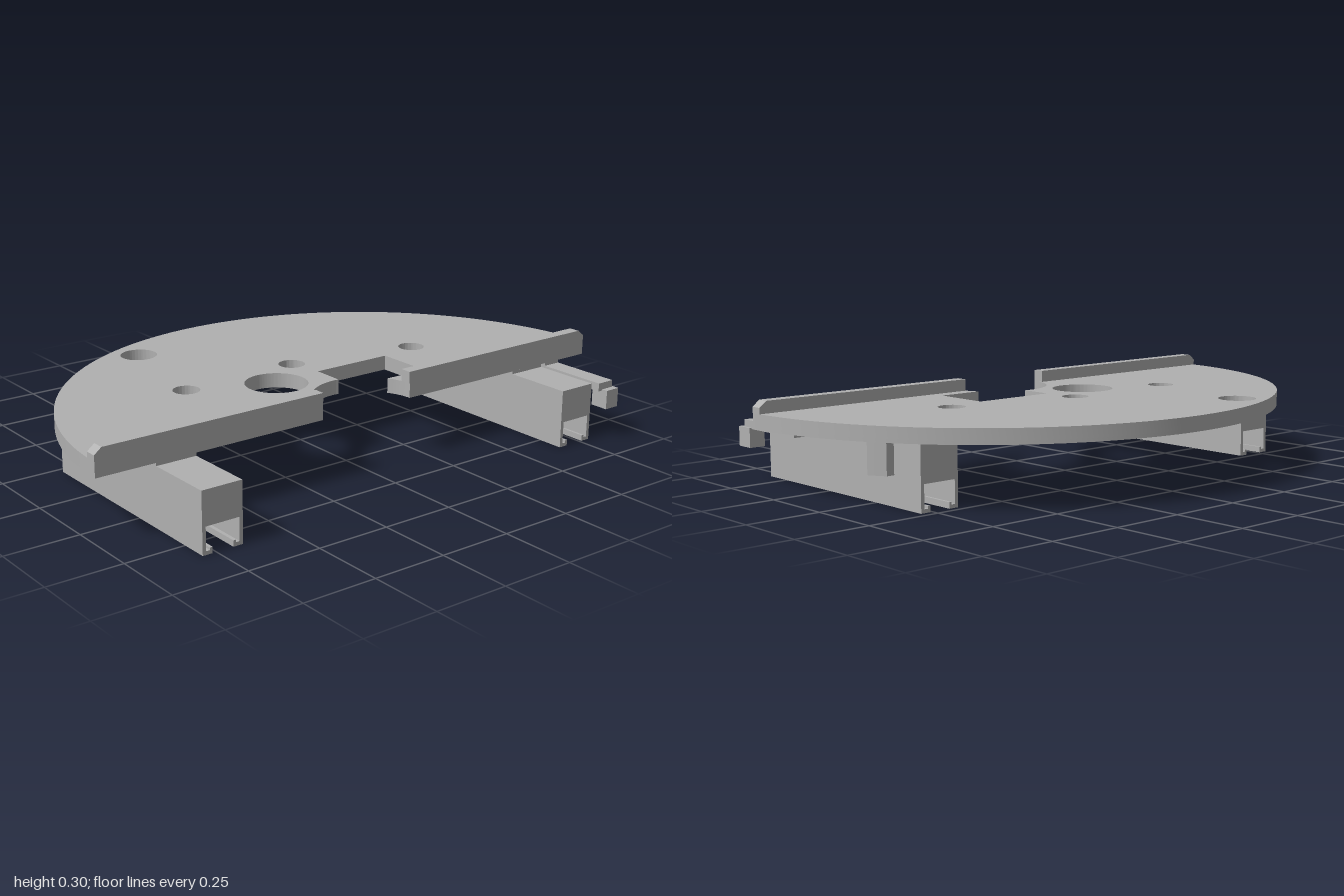
import * as THREE from 'three';
import { toCreasedNormals } from 'three/addons/utils/BufferGeometryUtils.js';

const CENTER = -0.37; // centre of the rim in plan (shape y = -z)
const FRONT = 0.355;

export function createModel() {
  const model = new THREE.Group();
  const grey = new THREE.MeshStandardMaterial({ color: 0xb0b0b0 });
  grey.name = 'grey';

  const add = (name, geometry) => {
    const mesh = new THREE.Mesh(geometry, grey);
    mesh.name = name;
    model.add(mesh);
    return mesh;
  };
  const box = (name, x0, x1, y0, y1, z0, z1) => {
    const g = new THREE.BoxGeometry(x1 - x0, y1 - y0, z1 - z0);
    g.translate((x0 + x1) / 2, (y0 + y1) / 2, (z0 + z1) / 2);
    return add(name, g);
  };
  // Plan outline raised from y0 to y1
  const slab = (name, shape, y0, y1) => {
    const g = new THREE.ExtrudeGeometry(shape, { depth: y1 - y0, bevelEnabled: false, curveSegments: 72 });
    g.rotateX(-Math.PI / 2);
    g.translate(0, y0, 0);
    return add(name, toCreasedNormals(g, 0.5));
  };
  // Front outline run from z0 to z1
  const profile = (name, points, z0, z1) => {
    const shape = new THREE.Shape(points.map(([x, y]) => new THREE.Vector2(x, y)));
    const g = new THREE.ExtrudeGeometry(shape, { depth: z1 - z0, bevelEnabled: false });
    g.translate(0, 0, z0);
    return add(name, g);
  };
  const hole = (x, z, r) => {
    const p = new THREE.Path();
    p.absarc(x, -z, r, 0, Math.PI * 2, true);
    return p;
  };

  // Half-disc outline with round and rectangular cut-outs in the front edge
  const plateShape = (blindHoles) => {
    const s = new THREE.Shape();
    const a = Math.asin(0.015);
    s.absarc(0, CENTER, 1, a, Math.PI - a, false);
    s.lineTo(-0.18, -FRONT);
    s.absarc(0, -0.36, 0.18, Math.PI - 0.028, Math.atan2(0.179, 0.02), true);
    s.lineTo(0.02, -0.07);
    s.lineTo(0.315, -0.07);
    s.lineTo(0.315, -0.27);
    s.absarc(0, -0.36, 0.18, Math.atan2(0.09, 0.156), 0.028, true);
    s.holes.push(hole(-0.165, 0.087, 0.105), hole(-0.36, -0.455, 0.063));
    if (blindHoles) s.holes.push(hole(-0.44, -0.03, 0.045), hole(0, -0.05, 0.045), hole(0.46, 0.04, 0.045));
    return s;
  };
  slab('plateBottom', plateShape(false), 0.21, 0.222);
  slab('plateTop', plateShape(true), 0.222, 0.26);

  // Collar under the rear hole
  const collar = new THREE.Shape();
  collar.absarc(-0.36, 0.455, 0.091, 0, Math.PI * 2, false);
  collar.holes.push(hole(-0.36, -0.455, 0.063));
  slab('holeCollar', collar, 0.201, 0.21);

  // Raised front lip, chamfered at its outer ends
  profile('lipLeft', [[0.177, 0.26], [1, 0.26], [1, 0.28], [0.975, 0.3], [0.177, 0.3]], 0.315, FRONT);
  profile('lipRight', [[-1, 0.26], [-0.18, 0.26], [-0.18, 0.3], [-0.975, 0.3], [-1, 0.28]], 0.315, FRONT);

  // Slotted rails with inward feet
  for (const [side, cx] of [['Left', 0.723], ['Right', -0.727]]) {
    const half = [
      [0.07, 0.2], [0.07, 0], [0.036, 0], [0.036, 0.02], [0.045, 0.02],
      [0.045, 0.012], [0.058, 0.012], [0.058, 0.088],
    ];
    const outline = [...half, ...half.map(([x, y]) => [-x, y]).reverse()];
    profile('rail' + side, outline.map(([x, y]) => [cx + x, y]), -0.225, 0.592);
    box('railSpacer' + side, cx - 0.07, cx + 0.07, 0.2, 0.21, -0.225, FRONT);
  }

  // Hooked arm beside the left rail
  box('arm', 0.812, 0.878, 0.172, 0.2, 0.315, 0.608);
  box('armMount', 0.812, 0.878, 0.2, 0.21, 0.315, FRONT);
  box('armHook', 0.83, 0.886, 0.11, 0.176, 0.565, 0.63);

  // Short post flush with the rim
  const post = new THREE.Shape();
  post.moveTo(0.83, 0.09);
  post.absarc(0, CENTER, 1, Math.asin(0.46), Math.asin(0.515), false);
  post.lineTo(0.83, 0.145);
  slab('rimPost', post, 0.11, 0.21);

  return model;
}
